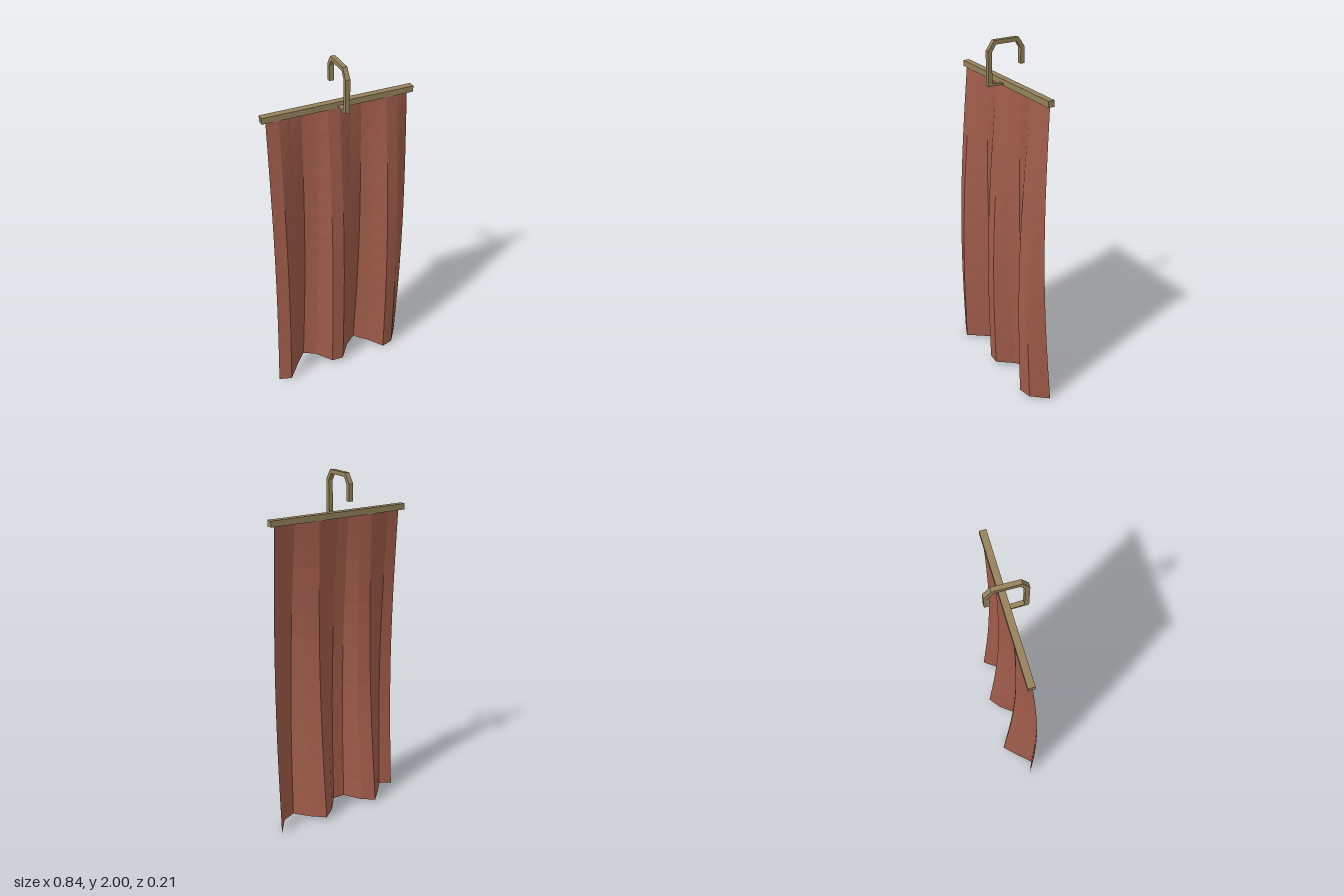
import * as THREE from 'three';

export function createModel() {
  const group = new THREE.Group();
  const cloth = new THREE.MeshStandardMaterial({ color: 0xa05c4a, side: THREE.DoubleSide, flatShading: true });
  cloth.name = 'russet cloth';
  const brass = new THREE.MeshStandardMaterial({ color: 0x94825a, flatShading: true });
  brass.name = 'dull brass';

  const add = (name, geometry, material) => {
    const mesh = new THREE.Mesh(geometry, material);
    mesh.name = name;
    group.add(mesh);
    return mesh;
  };

  // Hanging cloth: folds deepen towards the hem, the middle billows forward
  const sheet = new THREE.PlaneGeometry(1, 1, 12, 14);
  const p = sheet.attributes.position;
  for (let i = 0; i < p.count; i++) {
    const u = p.getX(i) + 0.5;
    const t = 0.5 - p.getY(i);
    const side = 2 * u - 1;
    const hem = 0.03 - 0.025 * side * side;
    const fold = Math.sin(u * 5 * Math.PI + 0.6);
    p.setXYZ(
      i,
      side * (0.383 + 0.036 * t),
      THREE.MathUtils.lerp(1.772, hem, t),
      0.035 * Math.sin(Math.PI * t) + (0.015 + 0.064 * t) * fold
    );
  }
  const folded = sheet.toNonIndexed();
  folded.computeVertexNormals();
  add('cloth', folded, cloth);

  // Cross bar
  add('crossBar', new THREE.BoxGeometry(0.81, 0.032, 0.035), brass).position.set(0, 1.781, 0);

  // Hook outline as (z, y), extruded across the width; thin foot joins the bar
  const outline = [
    [0, 1.77], [0.105, 1.774], [0.105, 1.95], [0.07, 2], [-0.07, 2], [-0.105, 1.95], [-0.105, 1.863],
    [-0.083, 1.863], [-0.083, 1.943], [-0.06, 1.979], [0.06, 1.979], [0.083, 1.943], [0.083, 1.786], [0, 1.777],
  ];
  const shape = new THREE.Shape(outline.map(([z, y]) => new THREE.Vector2(z, y)));
  const hook = new THREE.ExtrudeGeometry(shape, { depth: 0.024, bevelEnabled: false });
  hook.translate(0, 0, -0.012);
  hook.rotateY(-Math.PI / 2);
  add('hook', hook, brass);

  return group;
}
